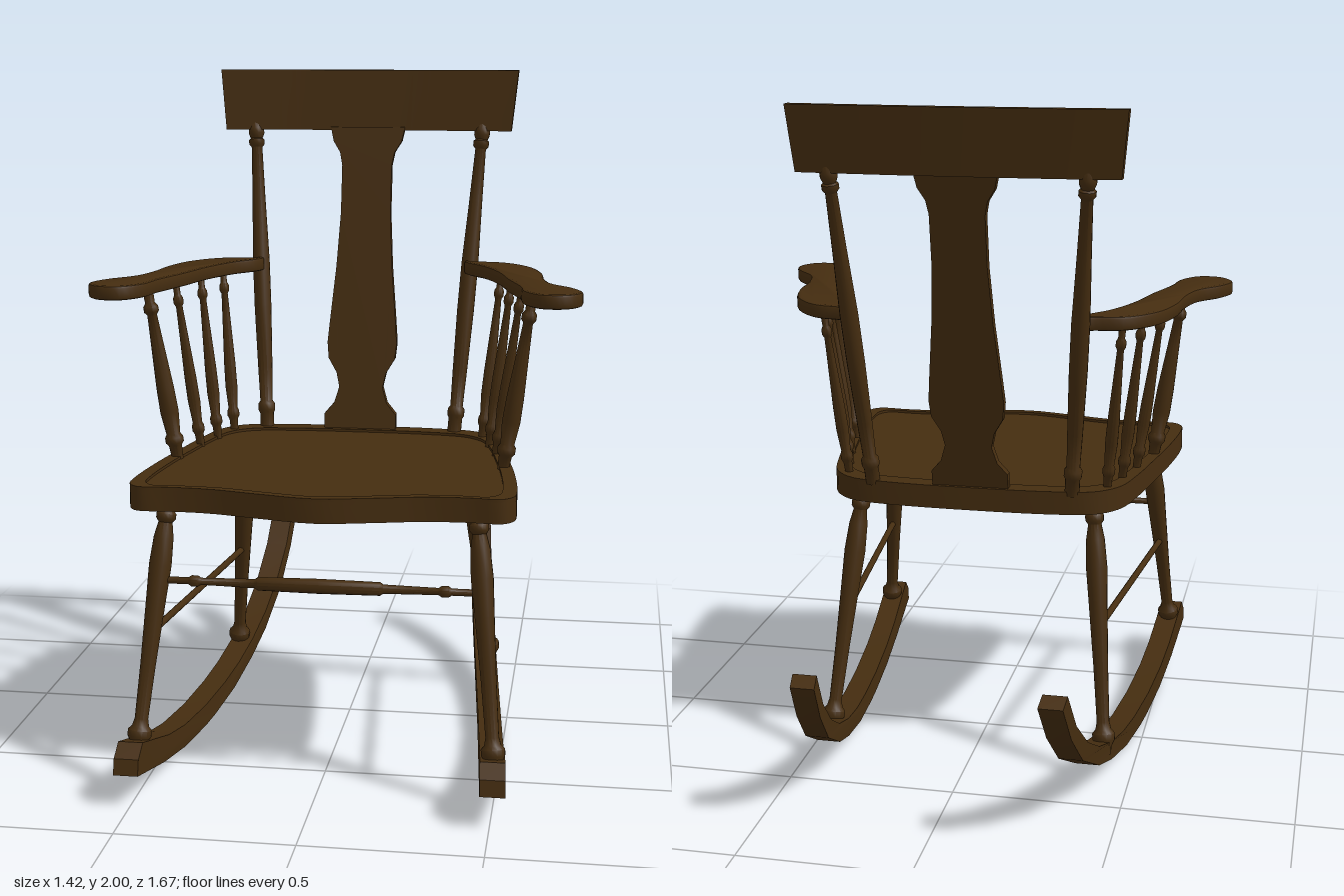
import * as THREE from 'three';
import { toCreasedNormals } from 'three/addons/utils/BufferGeometryUtils.js';

const wood = new THREE.MeshStandardMaterial({ color: 0x452d10 });
wood.name = 'dark brown wood';

const V = (x, y, z) => new THREE.Vector3(x, y, z);

function part(name, geometry) {
  const mesh = new THREE.Mesh(geometry, wood);
  mesh.name = name;
  return mesh;
}

// Smooth closed outline through a few [x, z] points, as a floor-plan shape
function planShape(points, divisions) {
  const curve = new THREE.CatmullRomCurve3(points.map(([x, z]) => V(x, -z, 0)), true, 'centripetal');
  return new THREE.Shape(curve.getPoints(divisions).slice(0, -1).map(p => new THREE.Vector2(p.x, p.y)));
}

// Flat slab lying between y0 and y1
function slab(name, shape, y0, y1, bevel = 0) {
  const geo = new THREE.ExtrudeGeometry(shape, {
    depth: y1 - y0 - 2 * bevel, bevelEnabled: bevel > 0,
    bevelSize: bevel, bevelThickness: bevel, bevelOffset: -bevel, bevelSegments: 2,
  });
  geo.rotateX(-Math.PI / 2).translate(0, y0 + bevel, 0);
  return part(name, toCreasedNormals(geo, 0.6));
}

// Turned stick from a to b; profile is [fraction along, radius]
function turned(name, a, b, profile, scale = 1) {
  const dir = b.clone().sub(a);
  const length = dir.length();
  const pts = profile.map(([t, r]) => new THREE.Vector2(r * scale, t * length));
  pts.unshift(new THREE.Vector2(0, 0));
  pts.push(new THREE.Vector2(0, length));
  const mesh = part(name, toCreasedNormals(new THREE.LatheGeometry(pts, 14), 0.8));
  mesh.position.copy(a);
  mesh.quaternion.setFromUnitVectors(V(0, 1, 0), dir.normalize());
  return mesh;
}

function moveVertices(geo, rule) {
  const pos = geo.attributes.position, v = V(0, 0, 0);
  for (let i = 0; i < pos.count; i++) {
    rule(v.fromBufferAttribute(pos, i));
    pos.setXYZ(i, v.x, v.y, v.z);
  }
  return toCreasedNormals(geo, 0.5);
}

const LEG = [[0, .02], [.03, .022], [.06, .034], [.085, .034], [.1, .024], [.13, .019], [.35, .022],
  [.6, .028], [.75, .032], [.86, .028], [.92, .02], [.935, .028], [.955, .028], [.97, .018], [1, .018]];
const POST = [[0, .022], [.05, .022], [.06, .027], [.08, .027], [.09, .02], [.2, .023], [.4, .027], [.55, .027],
  [.75, .021], [.92, .017], [.93, .025], [.945, .025], [.95, .019], [.965, .025], [.98, .025], [1, .018]];
const SPINDLE = [[0, .013], [.08, .015], [.1, .021], [.13, .021], [.15, .016], [.28, .021], [.42, .02],
  [.7, .014], [.85, .011], [.87, .017], [.9, .017], [.92, .011], [1, .012]];
const CROSSBAR = [[0, .01], [.09, .01], [.1, .016], [.12, .016], [.13, .01], [.3, .013], [.31, .019],
  [.5, .021], [.69, .019], [.7, .013], [.87, .01], [.88, .016], [.9, .016], [.91, .01], [1, .01]];

// Seat: body with a slightly raised rim
function makeSeat() {
  const seat = new THREE.Group();
  seat.name = 'seat';
  const half = [[.16, .665], [.3, .632], [.42, .625], [.51, .628], [.54, .595], [.545, .53], [.527, .33],
    [.5, .15], [.47, -.03], [.435, -.16], [.37, -.228], [.25, -.253]];
  const mirrored = half.map(([x, z]) => [-x, z]).reverse();
  const outline = [[0, .695], ...half, [0, -.262], ...mirrored];
  const inner = outline.map(([x, z]) => [x * .925, .2 + (z - .2) * (z > .2 ? .945 : .87)]);
  const rim = planShape(outline, 96);
  rim.holes.push(planShape(inner, 96));
  seat.add(slab('seatBody', planShape(outline, 96), .8, .862));
  seat.add(slab('seatRim', rim, .862, .87));
  return seat;
}

// Curved runner that toes in towards the back
function makeRocker(s) {
  const top = [[.785, .175], [.68, .145], [.55, .107], [.4, .08], [.2, .066], [0, .07], [-.15, .085],
    [-.3, .115], [-.45, .165], [-.58, .235], [-.7, .335], [-.79, .46]];
  const bottom = [[-.835, .437], [-.75, .315], [-.63, .2], [-.45, .105], [-.3, .057], [-.1, .016],
    [.1, .001], [.2, 0], [.4, .011], [.6, .042], [.835, .095], [.825, .14]];
  const shape = new THREE.Shape([...top, ...bottom].map(([z, y]) => new THREE.Vector2(z, y)));
  const geo = new THREE.ExtrudeGeometry(shape, { depth: .07, bevelEnabled: false });
  geo.translate(0, 0, -.035).rotateY(-Math.PI / 2);
  return part('rocker', moveVertices(geo, v => {
    const u = .835 - v.z;
    v.x += s * (.508 - .066 * u - .018 * u * u);
  }));
}

function makeArm(s) {
  const outline = [[.325, -.31], [.37, -.297], [.46, -.275], [.54, -.18], [.58, -.04], [.592, .09], [.62, .2],
    [.685, .29], [.71, .37], [.67, .435], [.6, .44], [.547, .37], [.53, .27], [.485, .11], [.45, -.04],
    [.395, -.18], [.34, -.26]];
  return slab('armrest', planShape(outline.map(([x, z]) => [x * s, z]), 80), 1.365, 1.407, .008);
}

// Vase-shaped back board, leaning back
function makeSplat() {
  const right = [[.115, .865], [.115, .915], [.085, .95], [.07, 1], [.08, 1.045], [.107, 1.09], [.112, 1.14],
    [.105, 1.22], [.09, 1.38], [.08, 1.55], [.08, 1.7], [.088, 1.74], [.11, 1.775], [.12, 1.82]];
  const left = right.map(([x, y]) => [-x, y]).reverse();
  const shape = new THREE.Shape([...right, ...left].map(([x, y]) => new THREE.Vector2(x, y)));
  const geo = new THREE.ExtrudeGeometry(shape, { depth: .03, bevelEnabled: false });
  return part('backSplat', moveVertices(geo, v => { v.z += -.25 - (v.y - .87) * .195; }));
}

// Wide top rail, bowed and leaning back
function makeCrest() {
  const geo = new THREE.BoxGeometry(.94, .19, .036, 20, 1, 1);
  return part('crestRail', moveVertices(geo, v => {
    v.x *= 1 + v.y * .22;
    v.z += -.44 + .08 * v.x * v.x - .13 * v.y;
    v.y += 1.905;
  }));
}

export function createModel() {
  const chair = new THREE.Group();
  chair.name = 'rockingChair';
  chair.add(makeSeat(), makeSplat(), makeCrest());

  for (const s of [1, -1]) {
    const side = new THREE.Group();
    side.name = s > 0 ? 'leftSide' : 'rightSide';
    side.add(makeRocker(s), makeArm(s));
    side.add(turned('frontLeg', V(s * .505, .12, .712), V(s * .44, .81, .56), LEG));
    side.add(turned('backLeg', V(s * .425, .08, -.318), V(s * .358, .81, -.155), LEG));
    side.add(turned('sideStretcher', V(s * .474, .45, .635), V(s * .39, .45, -.235), [[0, .01], [1, .01]]));
    side.add(turned('backPost', V(s * .303, .86, -.23), V(s * .368, 1.83, -.42), POST));

    // Arm spindles: bottom x, z, top x, z, thickness
    const spindles = [[.488, .238, .565, .258, 1.3], [.455, .068, .525, .077, .9],
      [.427, -.05, .485, -.088, .9], [.397, -.16, .445, -.235, .9]];
    for (const [x0, z0, x1, z1, k] of spindles)
      side.add(turned('armSpindle', V(s * x0, .86, z0), V(s * x1, 1.375, z1), SPINDLE, k));
    chair.add(side);
  }

  chair.add(turned('frontStretcher', V(-.455, .595, .607), V(.455, .595, .607), CROSSBAR));
  return chair;
}
